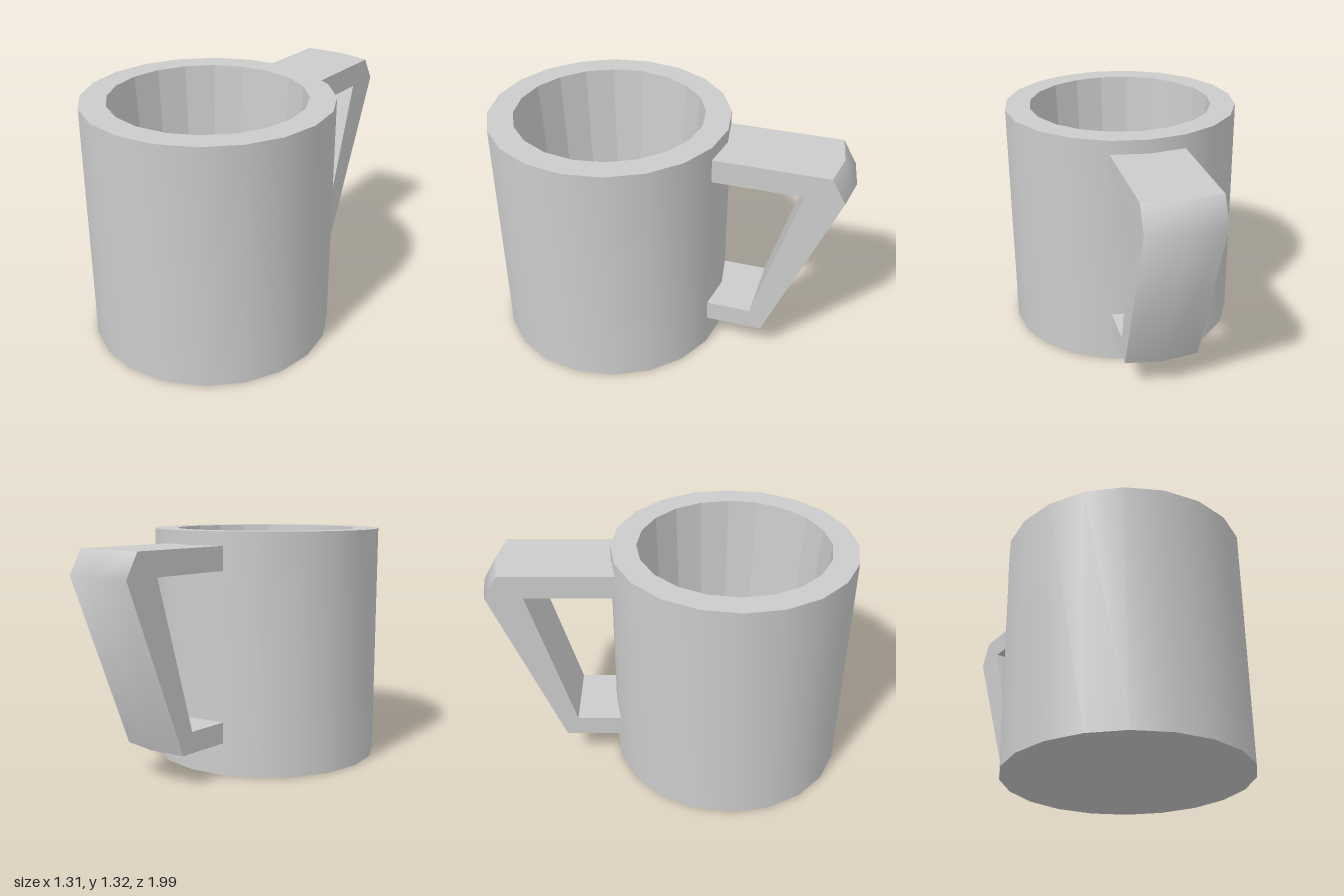
import * as THREE from 'three';
import { toCreasedNormals } from 'three/addons/utils/BufferGeometryUtils.js';

const SIDES = 20;
const HEIGHT = 1.315;
const FLOOR = 0.14;
const CUP_Z = 0.34;

function lathe(points) {
  return new THREE.LatheGeometry(points.map(([r, y]) => new THREE.Vector2(r, y)), SIDES);
}

export function createModel() {
  const group = new THREE.Group();
  const smooth = new THREE.MeshStandardMaterial({ color: 0xcccccc });
  const faceted = new THREE.MeshStandardMaterial({ color: 0xcccccc, flatShading: true });

  const add = (name, geometry, material, z = 0) => {
    const mesh = new THREE.Mesh(geometry, material);
    mesh.name = name;
    mesh.position.z = z;
    group.add(mesh);
  };

  // Base, outer wall and flat rim
  const outer = lathe([[0, 0], [0.655, 0], [0.655, HEIGHT], [0.517, HEIGHT]]);
  add('cupOuter', toCreasedNormals(outer, 0.6), smooth, CUP_Z);

  // Tapered, faceted inside wall and floor
  add('cupInner', lathe([[0.517, HEIGHT], [0.45, FLOOR], [0, FLOOR]]), faceted, CUP_Z);

  // Handle: side profile (distance behind the origin, height), ends sunk into the wall
  const profile = [
    [0.24, 0.18], [0.595, 0.18], [0.968, 1.11], [0.893, 1.24], [0.24, 1.24],
    [0.24, 1.11], [0.765, 1.11], [0.527, 0.295], [0.24, 0.295],
  ];
  const shape = new THREE.Shape(profile.map(([x, y]) => new THREE.Vector2(x, y)));
  const handle = new THREE.ExtrudeGeometry(shape, { depth: 0.404, steps: 2, bevelEnabled: false });
  handle.translate(0, 0, -0.202);

  // Push the middle of the back out into a shallow ridge
  const pos = handle.attributes.position;
  const isBack = (x, y) => profile.slice(1, 4).some(([px, py]) => Math.hypot(px - x, py - y) < 1e-4);
  for (let i = 0; i < pos.count; i++) {
    if (Math.abs(pos.getZ(i)) < 1e-4 && isBack(pos.getX(i), pos.getY(i))) {
      pos.setX(i, pos.getX(i) + 0.032);
    }
  }
  handle.rotateY(Math.PI / 2);
  add('handle', toCreasedNormals(handle, 0.95), smooth);

  return group;
}
